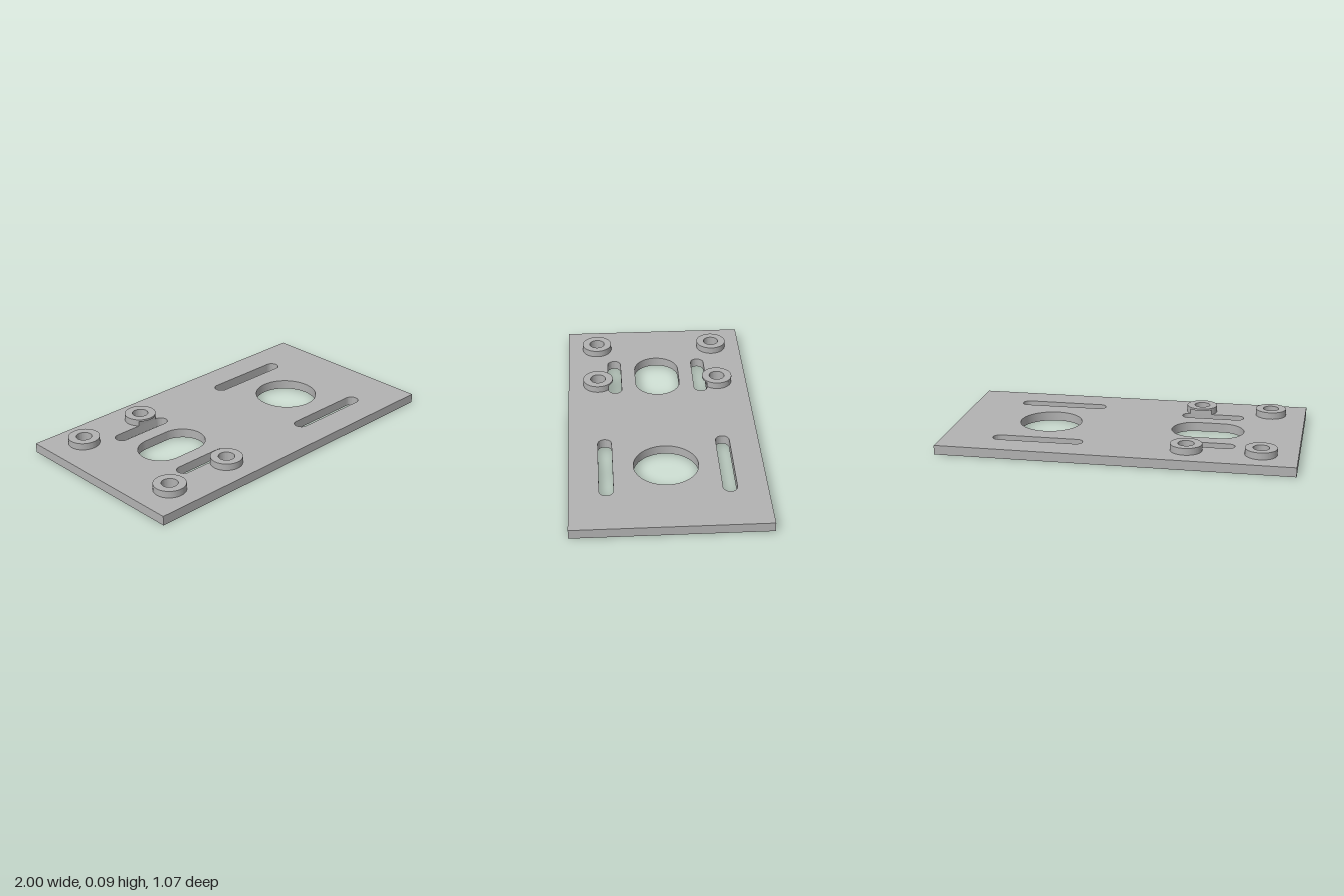
import * as THREE from 'three';
import { toCreasedNormals } from 'three/addons/utils/BufferGeometryUtils.js';

const WIDTH = 2, DEPTH = 1.074;
const PLATE_TOP = 0.053, NOTCH_TOP = 0.081, BOSS_TOP = 0.092;
const BOSS_R = 0.089, BORE_R = 0.045;
const BOSS_X = [-0.797, -0.386], BOSS_Z = 0.359;
const SLOT_Z = 0.257, SLOT_R = 0.039;

// Outlines are drawn in plan, with shape y pointing to -z.
function circle(x, y, r) {
  return new THREE.Path().absarc(x, y, r, 0, Math.PI * 2, false);
}

function slot(x0, x1, y, r) {
  const p = new THREE.Path();
  p.moveTo(x0 + r, y - r);
  p.lineTo(x1 - r, y - r);
  p.absarc(x1 - r, y, r, -Math.PI / 2, Math.PI / 2, false);
  p.lineTo(x0 + r, y + r);
  p.absarc(x0 + r, y, r, Math.PI / 2, Math.PI * 1.5, false);
  return p;
}

// Extrudes a plan outline from height y0 to y1, with smooth round walls.
function slab(name, shape, y0, y1, material) {
  const geo = new THREE.ExtrudeGeometry(shape, { depth: y1 - y0, bevelEnabled: false, curveSegments: 40 });
  geo.rotateX(-Math.PI / 2);
  geo.translate(0, y0, 0);
  const mesh = new THREE.Mesh(toCreasedNormals(geo, Math.PI / 6), material);
  mesh.name = name;
  return mesh;
}

// Ring outline; a half angle above zero cuts a flat facing the given direction.
function ring(x, y, facing = 0, half = 0) {
  const shape = new THREE.Shape();
  shape.absarc(x, y, BOSS_R, facing + half, facing + Math.PI * 2 - half, false);
  shape.holes.push(circle(x, y, BORE_R));
  return shape;
}

export function createModel() {
  const model = new THREE.Group();
  model.name = 'mountingPlate';
  const grey = new THREE.MeshStandardMaterial({ color: 0xb2b2b2 });
  grey.name = 'plate grey';

  // Plate with round, oval and slotted openings
  const w = WIDTH / 2, d = DEPTH / 2;
  const plate = new THREE.Shape([
    new THREE.Vector2(-w, -d), new THREE.Vector2(w, -d),
    new THREE.Vector2(w, d), new THREE.Vector2(-w, d),
  ]);
  plate.holes.push(circle(0.46, 0, 0.18), slot(-0.67, -0.256, 0, 0.132));
  for (const s of [-1, 1]) {
    plate.holes.push(slot(0.2, 0.718, s * 0.333, SLOT_R));
    plate.holes.push(slot(-0.645, -0.281, s * SLOT_Z, SLOT_R));
    for (const x of BOSS_X) plate.holes.push(circle(x, s * BOSS_Z, BORE_R));
  }
  model.add(slab('plate', plate, 0, PLATE_TOP, grey));

  // Raised bosses; the inner pair is undercut where it overhangs the slots
  const half = Math.acos((BOSS_Z - SLOT_Z - SLOT_R) / BOSS_R);
  for (const s of [-1, 1]) {
    const y = s * BOSS_Z;
    model.add(slab('outerBoss', ring(BOSS_X[0], y), PLATE_TOP, BOSS_TOP, grey));
    const inner = new THREE.Group();
    inner.name = 'innerBoss';
    inner.add(
      slab('innerBossBase', ring(BOSS_X[1], y, -s * Math.PI / 2, half), PLATE_TOP, NOTCH_TOP, grey),
      slab('innerBossCap', ring(BOSS_X[1], y), NOTCH_TOP, BOSS_TOP, grey),
    );
    model.add(inner);
  }
  return model;
}
